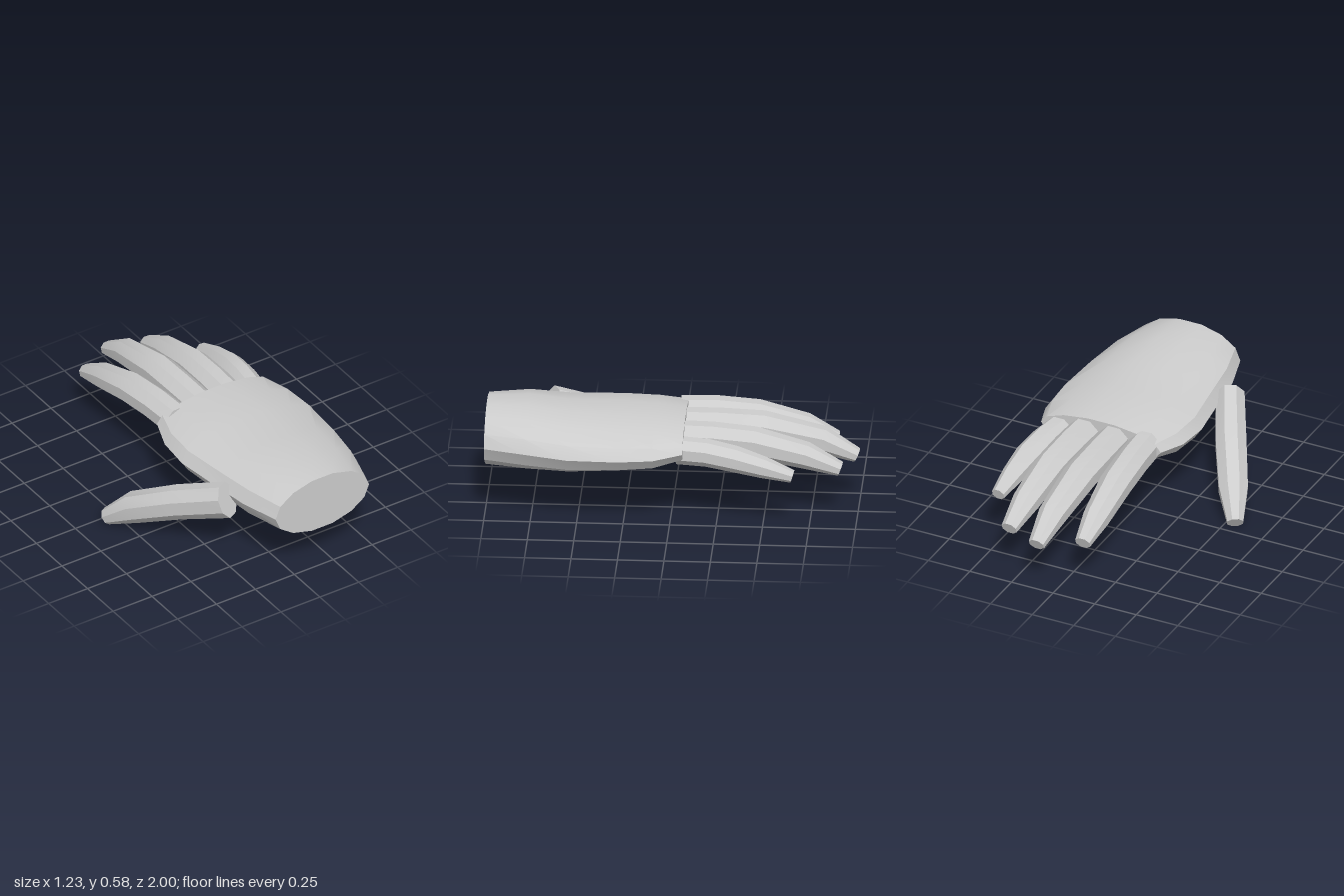
import * as THREE from 'three';
import { toCreasedNormals } from 'three/addons/utils/BufferGeometryUtils.js';

const CREASE = 0.52;

// Capped loft through elliptical rings [x, y, z, halfWidth, halfHeight].
// With follow on, rings stand square to the path; otherwise they face z.
function loft(rings, sides, follow) {
  const up = new THREE.Vector3(0, 1, 0);
  const centres = rings.map(([x, y, z]) => new THREE.Vector3(x, y, z));
  const last = rings.length - 1;
  const half = Math.PI / sides;
  const grow = follow ? 1 / Math.cos(half) : 1; // flat-topped rings reach full size
  const points = rings.map(([, , , w, h], i) => {
    const dir = follow
      ? centres[Math.min(i + 1, last)].clone().sub(centres[Math.max(i - 1, 0)]).normalize()
      : new THREE.Vector3(0, 0, -1);
    const u = dir.clone().cross(up).normalize();
    const v = u.clone().cross(dir);
    return Array.from({ length: sides }, (_, j) => {
      const a = 2 * half * j + (follow ? half : 0);
      return centres[i].clone()
        .addScaledVector(u, Math.cos(a) * w * grow)
        .addScaledVector(v, Math.sin(a) * h * grow);
    });
  });
  const tris = [];
  for (let j = 0; j < sides; j++) {
    const k = (j + 1) % sides;
    for (let i = 0; i < last; i++) {
      const [a, b, c, d] = [points[i][j], points[i][k], points[i + 1][j], points[i + 1][k]];
      tris.push(a, c, b, b, c, d);
    }
    tris.push(centres[0], points[0][j], points[0][k]);
    tris.push(centres[last], points[last][k], points[last][j]);
  }
  return toCreasedNormals(new THREE.BufferGeometry().setFromPoints(tris), CREASE);
}

export function createModel() {
  const hand = new THREE.Group();
  hand.name = 'hand';
  const skin = new THREE.MeshStandardMaterial({ color: 0xcccccc });
  skin.name = 'plain grey';

  const add = (name, rings, sides, follow) => {
    const mesh = new THREE.Mesh(loft(rings, sides, follow), skin);
    mesh.name = name;
    hand.add(mesh);
  };

  // Wrist and palm, from the cut wrist to the knuckles
  add('palm', [
    [0.18, 0.41, 1.0, 0.30, 0.168],
    [0.18, 0.41, 0.78, 0.365, 0.174],
    [0.19, 0.40, 0.55, 0.40, 0.16],
    [0.18, 0.405, 0.28, 0.43, 0.145],
    [0.18, 0.41, 0.09, 0.415, 0.132],
    [0.18, 0.428, -0.07, 0.36, 0.099],
  ], 14, false);

  // Fingers: knuckle, middle joint, end joint, tip
  add('indexFinger', [
    [-0.07, 0.425, -0.03, 0.083, 0.083],
    [-0.08, 0.425, -0.22, 0.084, 0.082],
    [-0.092, 0.405, -0.44, 0.083, 0.08],
    [-0.107, 0.34, -0.70, 0.068, 0.068],
    [-0.112, 0.275, -0.868, 0.042, 0.036],
  ], 8, true);
  add('middleFinger', [
    [0.103, 0.428, -0.03, 0.086, 0.083],
    [0.103, 0.428, -0.25, 0.088, 0.083],
    [0.105, 0.42, -0.48, 0.088, 0.082],
    [0.106, 0.355, -0.80, 0.072, 0.07],
    [0.107, 0.27, -0.986, 0.043, 0.036],
  ], 8, true);
  add('ringFinger', [
    [0.28, 0.425, -0.03, 0.086, 0.083],
    [0.288, 0.425, -0.22, 0.086, 0.082],
    [0.298, 0.41, -0.44, 0.084, 0.08],
    [0.304, 0.345, -0.72, 0.07, 0.068],
    [0.31, 0.273, -0.908, 0.043, 0.036],
  ], 8, true);
  add('littleFinger', [
    [0.428, 0.41, -0.04, 0.074, 0.07],
    [0.452, 0.408, -0.2, 0.073, 0.069],
    [0.475, 0.385, -0.35, 0.07, 0.066],
    [0.49, 0.345, -0.51, 0.056, 0.054],
    [0.5, 0.302, -0.662, 0.036, 0.032],
  ], 8, true);

  // Thumb, reaching outward and down
  add('thumb', [
    [-0.22, 0.39, 0.68, 0.077, 0.095],
    [-0.355, 0.275, 0.42, 0.083, 0.09],
    [-0.49, 0.15, 0.18, 0.078, 0.082],
    [-0.573, 0.038, 0.038, 0.043, 0.043],
  ], 8, true);

  return hand;
}
